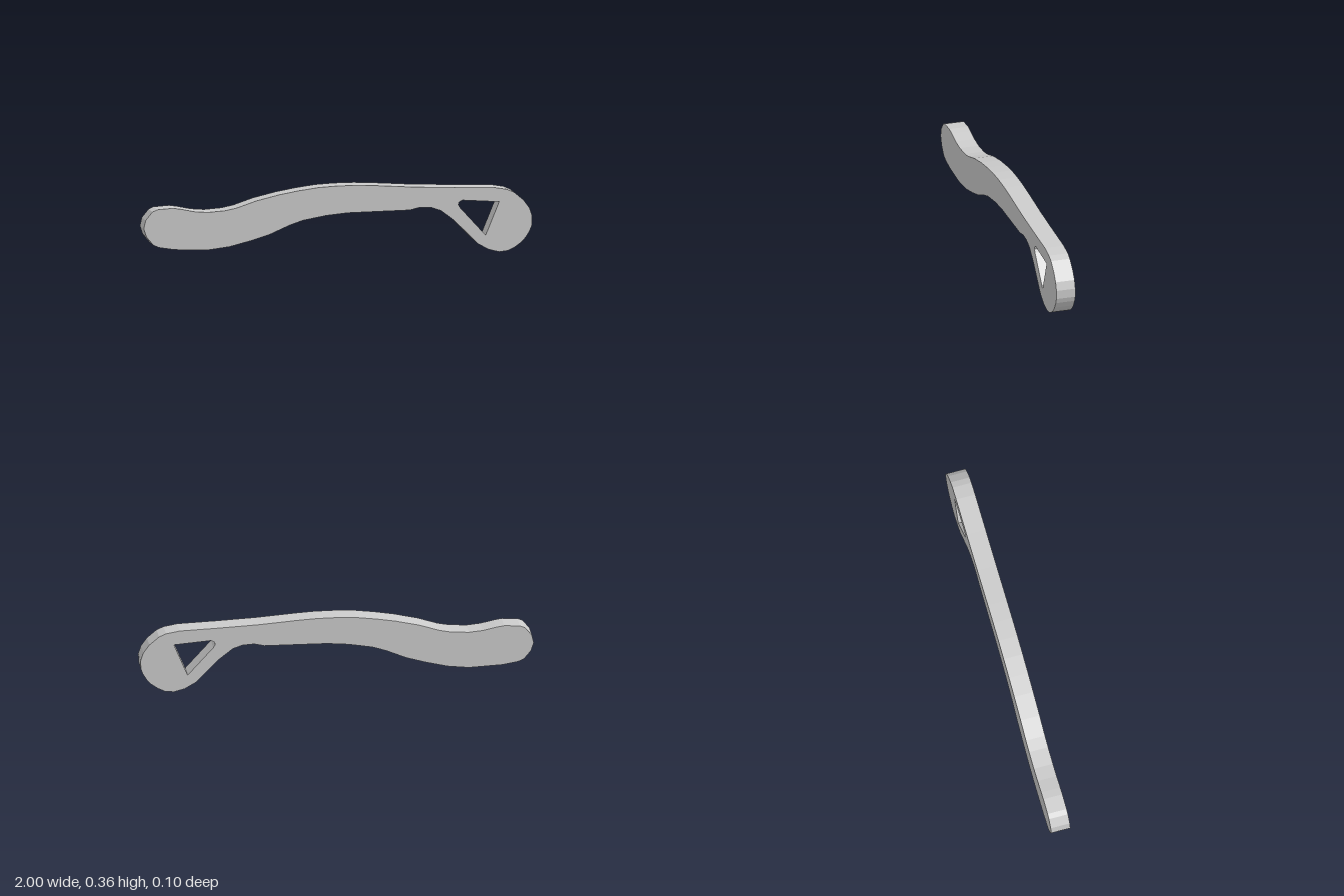
import * as THREE from 'three';

const points = (list) => list.map(([x, y]) => new THREE.Vector2(x, y));

// Outline of the lever, clockwise from the grip end
const gripTop = [
  [-1, 0.175], [-0.99, 0.218], [-0.955, 0.26], [-0.93, 0.271], [-0.85, 0.276], [-0.81, 0.27],
  [-0.74, 0.255], [-0.67, 0.249], [-0.58, 0.255], [-0.52, 0.267], [-0.42, 0.3], [-0.3, 0.328],
  [-0.2, 0.345], [-0.1, 0.358], [0, 0.363], [0.1, 0.363], [0.2, 0.358], [0.4, 0.344], [0.6, 0.336],
];
const roundHead = [
  [0.8, 0.33], [0.87, 0.318], [0.905, 0.303], [0.955, 0.261], [0.985, 0.22], [0.999, 0.178], [0.998, 0.133],
  [0.988, 0.106], [0.968, 0.073], [0.945, 0.047], [0.91, 0.022], [0.875, 0.005], [0.83, 0], [0.775, 0.014],
  [0.72, 0.045],
];
const underside = [
  [0.6, 0.166], [0.53, 0.22], [0.48, 0.237], [0.42, 0.24], [0.37, 0.228], [0.2, 0.226], [0.05, 0.224],
  [-0.06, 0.214], [-0.18, 0.193], [-0.25, 0.17], [-0.35, 0.127], [-0.45, 0.097], [-0.56, 0.07],
  [-0.67, 0.057], [-0.84, 0.064], [-0.92, 0.077], [-0.95, 0.09], [-0.985, 0.132],
];

// Triangular opening with one rounded corner, counter-clockwise so its walls face inward
const opening = [
  [0.63, 0.23], [0.76, 0.087], [0.83, 0.256], [0.64, 0.27], [0.624, 0.261], [0.62, 0.247],
];

export function createModel() {
  const thickness = 0.1;
  const profile = new THREE.Shape(points([...gripTop, ...roundHead, ...underside]));
  profile.holes.push(new THREE.Path(points(opening)));

  // Flat plate, centred on z = 0
  const geometry = new THREE.ExtrudeGeometry(profile, { depth: thickness, bevelEnabled: false });
  geometry.translate(0, 0, -thickness / 2);

  const lever = new THREE.Mesh(
    geometry,
    new THREE.MeshStandardMaterial({ color: 0xcccccc, flatShading: true })
  );
  lever.name = 'curvedLever';

  const model = new THREE.Group();
  model.name = 'leverHandle';
  model.add(lever);
  return model;
}
